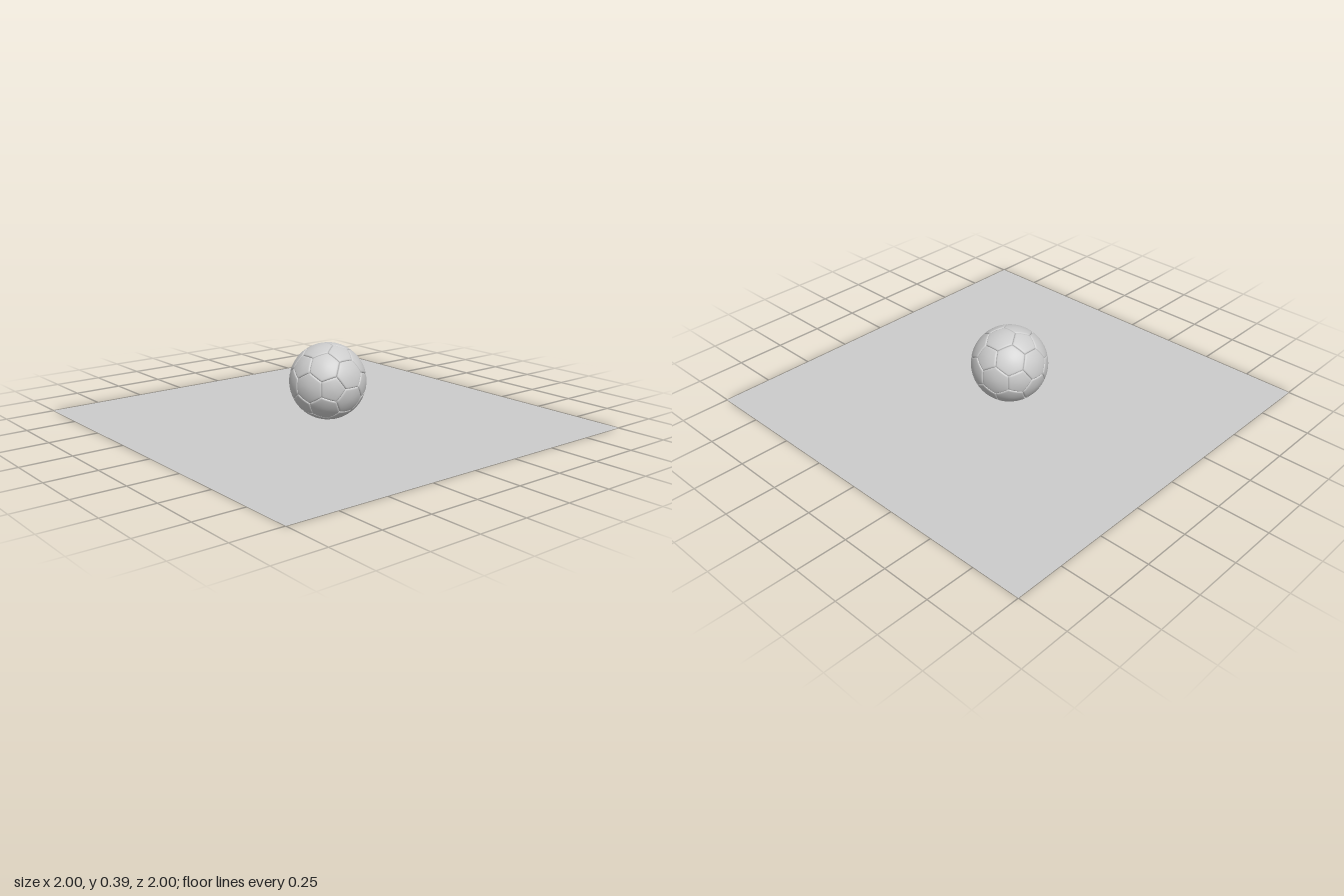
import * as THREE from 'three';
import { mergeGeometries } from 'three/addons/utils/BufferGeometryUtils.js';

const R = 0.191;             // ball radius
const CENTRE_Y = 0.197;
const SEAM_DEPTH = 0.007;
const SEAM_HALF = 0.009;     // half the width of a seam groove
const SEGS = 8;              // divisions along each panel edge

// The 12 corners of an icosahedron: cyclic permutations of (0, ±1, ±phi)
function icosahedronCorners() {
  const phi = (1 + Math.sqrt(5)) / 2;
  const out = [];
  for (const a of [-1, 1]) for (const b of [-phi, phi]) {
    out.push(new THREE.Vector3(0, a, b), new THREE.Vector3(a, b, 0), new THREE.Vector3(b, 0, a));
  }
  return out;
}

// Corners in counter-clockwise order, seen from outside
function sortAround(corners, axis) {
  const n = axis.clone().normalize();
  const u = corners[0].clone().addScaledVector(n, -corners[0].dot(n)).normalize();
  const v = n.clone().cross(u);
  const angle = (p) => Math.atan2(p.dot(v), p.dot(u));
  return corners.sort((p, q) => angle(p) - angle(q));
}

// One pillowed panel: rings from the middle to the seam, pushed out to the sphere
function panelGeometry(rawCorners) {
  const centre = rawCorners.reduce((s, p) => s.add(p), new THREE.Vector3()).divideScalar(rawCorners.length);
  const corners = sortAround(rawCorners, centre);
  const inradius = corners[0].clone().add(corners[1]).multiplyScalar(0.5).distanceTo(centre);
  const w = SEAM_HALF / inradius;
  const rings = [0.2, 0.4, 0.6, 0.75];
  for (const s of [1, 0.7, 0.45, 0.25, 0.1, 0]) rings.push(1 - w * s);

  const positions = [];
  const index = [];
  const addPoint = (p, t) => {
    const s = Math.min((1 - t) / w, 1);
    const drop = SEAM_DEPTH * (1 - Math.sqrt(1 - (1 - s) ** 2));
    positions.push(...p.normalize().multiplyScalar(R - drop).toArray());
  };

  addPoint(centre.clone(), 0);
  const count = corners.length * SEGS;
  for (const t of rings) {
    for (let i = 0; i < count; i++) {
      const a = corners[Math.floor(i / SEGS)];
      const b = corners[(Math.floor(i / SEGS) + 1) % corners.length];
      const edge = a.clone().lerp(b, (i % SEGS) / SEGS);
      addPoint(centre.clone().lerp(edge, t), t);
    }
  }
  for (let i = 0; i < count; i++) {
    const j = (i + 1) % count;
    index.push(0, 1 + i, 1 + j);
    for (let r = 1; r < rings.length; r++) {
      const inner = 1 + (r - 1) * count;
      const outer = inner + count;
      index.push(inner + i, outer + i, outer + j, inner + i, outer + j, inner + j);
    }
  }
  const g = new THREE.BufferGeometry();
  g.setAttribute('position', new THREE.Float32BufferAttribute(positions, 3));
  g.setIndex(index);
  g.computeVertexNormals();
  return g;
}

export function createModel() {
  const group = new THREE.Group();
  const grey = new THREE.MeshStandardMaterial({ color: 0xcccccc });

  // Scale the corners so that the seam corners lie on the sphere
  const V = icosahedronCorners();
  const near = (a, b) => a !== b && a.distanceTo(b) < 2.1;
  const third = (a, b) => a.clone().lerp(b, 1 / 3);
  const scale = R / third(V[0], V.find((p) => near(V[0], p))).length();
  const cut = (a, b) => third(a, b).multiplyScalar(scale);

  // A pentagon at each corner, a hexagon on each face
  const pentagons = V.map((v) => panelGeometry(V.filter((n) => near(v, n)).map((n) => cut(v, n))));
  const hexagons = [];
  V.forEach((a, i) => V.forEach((b, j) => V.forEach((c, k) => {
    if (i < j && j < k && near(a, b) && near(b, c) && near(a, c)) {
      hexagons.push(panelGeometry([cut(a, b), cut(b, a), cut(b, c), cut(c, b), cut(c, a), cut(a, c)]));
    }
  })));

  const ball = new THREE.Group();
  ball.name = 'ball';
  ball.position.y = CENTRE_Y;
  for (const [name, parts] of [['pentagonPanels', pentagons], ['hexagonPanels', hexagons]]) {
    const mesh = new THREE.Mesh(mergeGeometries(parts), grey);
    mesh.name = name;
    ball.add(mesh);
  }
  group.add(ball);

  // Flat square floor
  const floor = new THREE.Mesh(
    new THREE.PlaneGeometry(2, 2).rotateX(-Math.PI / 2),
    new THREE.MeshStandardMaterial({ color: 0xcccccc, side: THREE.DoubleSide })
  );
  floor.name = 'floor';
  group.add(floor);

  return group;
}
